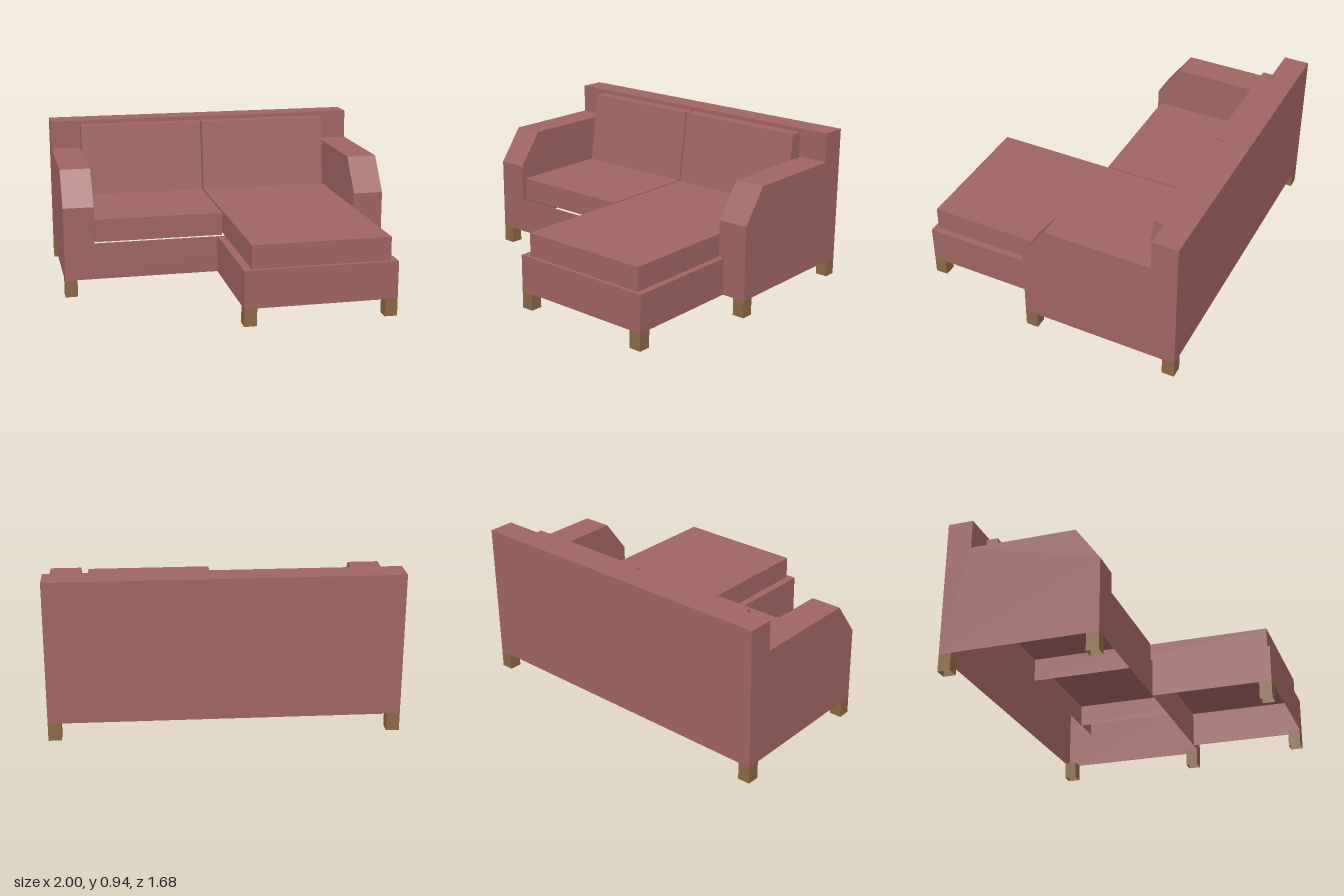
import * as THREE from 'three';

const fabric = new THREE.MeshStandardMaterial({ color: 0xa06561, side: THREE.DoubleSide });
fabric.name = 'dusty rose fabric';
const wood = new THREE.MeshStandardMaterial({ color: 0x8c6845, side: THREE.DoubleSide });
wood.name = 'brown wood';

// Sheet following a [z, y] path, stretched between two x positions
function sheet(path, x0, x1) {
  const pos = [];
  for (let i = 0; i < path.length - 1; i++) {
    const [za, ya] = path[i], [zb, yb] = path[i + 1];
    pos.push(x0, ya, za, x0, yb, zb, x1, yb, zb, x0, ya, za, x1, yb, zb, x1, ya, za);
  }
  const geo = new THREE.BufferGeometry();
  geo.setAttribute('position', new THREE.Float32BufferAttribute(pos, 3));
  geo.computeVertexNormals();
  return new THREE.Mesh(geo, fabric);
}

// Flat panel with a [z, y] outline standing at x
function panel(outline, x) {
  const shape = new THREE.Shape(outline.map(([z, y]) => new THREE.Vector2(-z, y)));
  const geo = new THREE.ShapeGeometry(shape);
  geo.rotateY(Math.PI / 2);
  geo.translate(x, 0, 0);
  return new THREE.Mesh(geo, fabric);
}

// Upholstered shell with an open underside: a sheet and its two ends
function shell(name, path, x0, x1) {
  const group = new THREE.Group();
  group.name = name;
  group.add(sheet(path, x0, x1), panel(path, x0), panel(path, x1));
  return group;
}

function named(mesh, name) {
  mesh.name = name;
  return mesh;
}

export function createModel() {
  const sofa = new THREE.Group();
  sofa.name = 'chaiseSofa';
  const low = 0.105, deck = 0.33, seat = 0.47, arm = 0.76, top = 0.94;
  const back = -0.84, backFront = -0.685, front = 0.11, inner = 0.815;

  // Hollow frame: backrest and front rail
  sofa.add(named(sheet([[backFront, deck], [backFront, top], [back, top], [back, low]], -1, 1), 'backrest'));
  sofa.add(named(sheet([[front, low], [front, deck]], -inner, inner), 'frontRail'));

  // Arms with a sloped front; the outer side also closes the backrest
  const armTop = [[front, 0.555], [-0.04, arm], [backFront, arm]];
  for (const s of [-1, 1]) {
    const group = new THREE.Group();
    group.name = s > 0 ? 'leftArm' : 'rightArm';
    group.add(named(sheet([[front, low], ...armTop], s * inner, s), 'armTop'));
    group.add(named(panel([[back, low], [front, low], ...armTop, [backFront, top], [back, top]], s), 'armOuterSide'));
    group.add(named(panel([[backFront, deck], [front, deck], ...armTop], s * inner), 'armInnerSide'));
    sofa.add(group);
  }

  // Chaise base
  sofa.add(shell('chaiseBase', [[front, low], [front, deck], [0.84, deck], [0.84, low]], -0.06, 0.85));

  // Seat and back cushions, the left one reaching over the chaise
  for (const [side, x0, x1, end] of [['right', -0.81, -0.024, 0.085], ['left', -0.012, 0.81, 0.815]]) {
    sofa.add(shell(side + 'SeatCushion',
      [[backFront, deck], [backFront, seat], [end, seat], [end, deck]], x0, x1));
    sofa.add(shell(side + 'BackCushion',
      [[backFront, seat], [backFront, 0.915], [-0.612, 0.915], [-0.553, seat]], x0, x1));
  }

  // Square legs flush with the corners
  const w = 0.075, h = w / 2;
  const legGeo = new THREE.CylinderGeometry(h * Math.SQRT2, h * Math.SQRT2, low, 4, 1, true, Math.PI / 4).toNonIndexed();
  legGeo.computeVertexNormals();
  const spots = [
    [-1 + h, back + h], [1 - h, back + h], [-1 + h, front - h], [1 - h, front - h],
    [-0.06 + h, 0.84 - h], [0.85 - h, 0.84 - h],
  ];
  for (const [x, z] of spots) {
    const leg = named(new THREE.Mesh(legGeo, wood), 'leg');
    leg.position.set(x, low / 2, z);
    sofa.add(leg);
  }
  return sofa;
}
